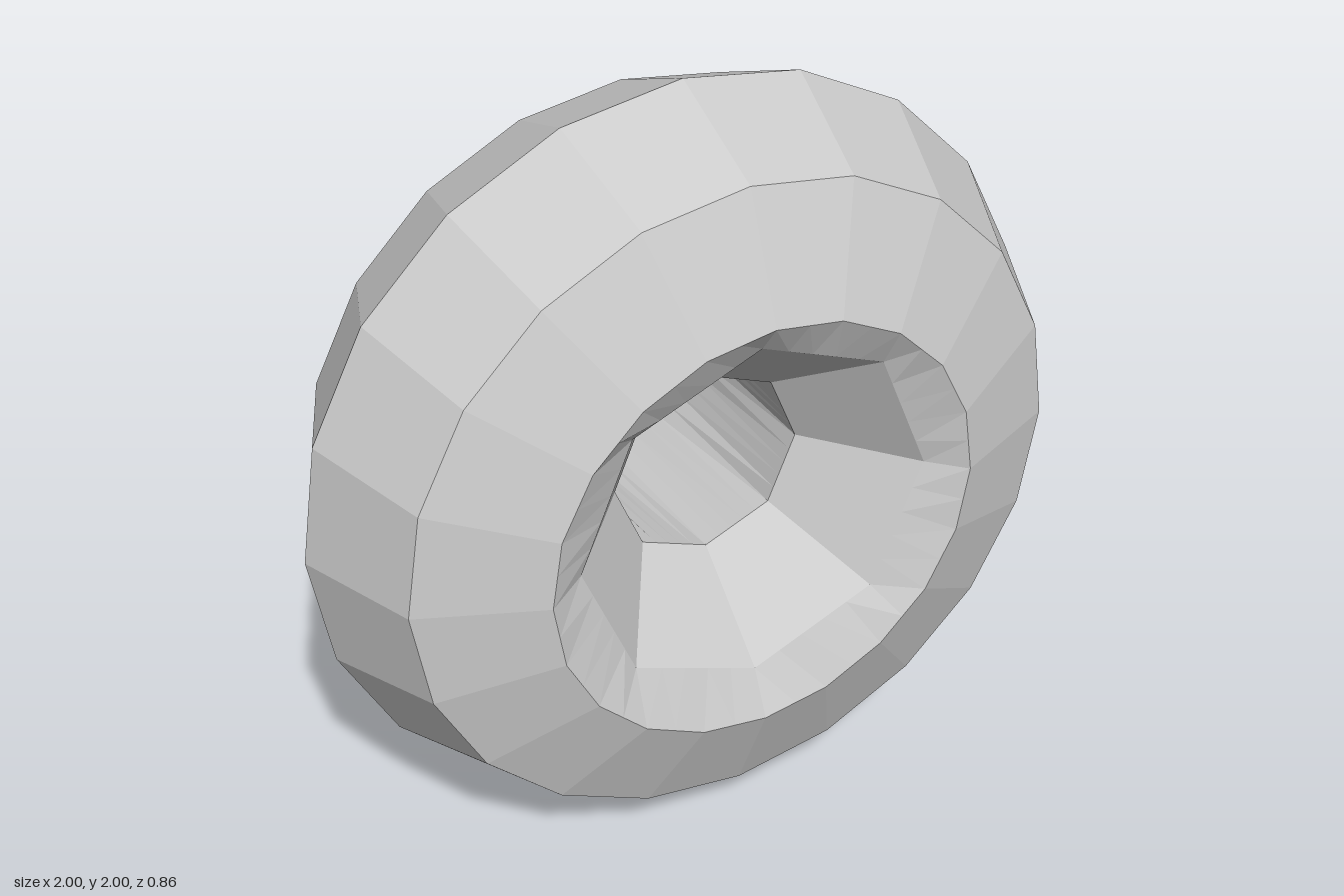
import * as THREE from 'three';

const STEPS = 40; // common multiple of the 20-sided and 8-sided rings

// Point on a regular polygon ring facing z, with a corner on +x
function ringPoint({ r, z, sides = 20, lift = 0 }, j) {
  const a = ((j % STEPS) / STEPS) * Math.PI * 2;
  const half = Math.PI / sides;
  const local = (j % (STEPS / sides)) * (Math.PI * 2 / STEPS);
  const d = r * Math.cos(half) / Math.cos(local - half);
  return [d * Math.cos(a), d * Math.sin(a) + lift, z];
}

// Faceted skin through successive rings
function loft(name, rings, material) {
  const pos = [];
  for (let i = 0; i < rings.length - 1; i++) {
    for (let j = 0; j < STEPS; j++) {
      const a = ringPoint(rings[i], j), b = ringPoint(rings[i], j + 1);
      const c = ringPoint(rings[i + 1], j + 1), d = ringPoint(rings[i + 1], j);
      pos.push(...a, ...d, ...c, ...a, ...c, ...b);
    }
  }
  const geometry = new THREE.BufferGeometry();
  geometry.setAttribute('position', new THREE.Float32BufferAttribute(pos, 3));
  geometry.computeVertexNormals();
  const mesh = new THREE.Mesh(geometry, material);
  mesh.name = name;
  mesh.position.y = 1;
  return mesh;
}

export function createModel() {
  const group = new THREE.Group();
  group.name = 'wheel';
  const material = new THREE.MeshStandardMaterial({ color: 0xcccccc, flatShading: true });

  const frontRim = { r: 0.57, z: 0.43 };
  const backRim = { r: 0.57, z: -0.43 };
  const backHole = { r: 0.262, z: -0.43 };
  const throat = { r: 0.253, z: 0.12, sides: 8, lift: 0.02 };
  const funnelMouth = { r: 0.47, z: 0.372, sides: 8, lift: 0.02 };

  // Tread and shoulders, front to back
  group.add(loft('tyre', [frontRim, { r: 0.87, z: 0.305 }, { r: 1, z: 0 }, { r: 0.87, z: -0.305 }, backRim], material));
  // Flat disc on the back
  group.add(loft('backFace', [backRim, backHole], material));
  // Round axle hole narrowing to the octagonal throat
  group.add(loft('axleBore', [backHole, throat], material));
  // Octagonal funnel opening to the front
  group.add(loft('hubFunnel', [throat, funnelMouth], material));
  // Shallow sloped lip around the funnel
  group.add(loft('frontLip', [funnelMouth, frontRim], material));
  return group;
}
